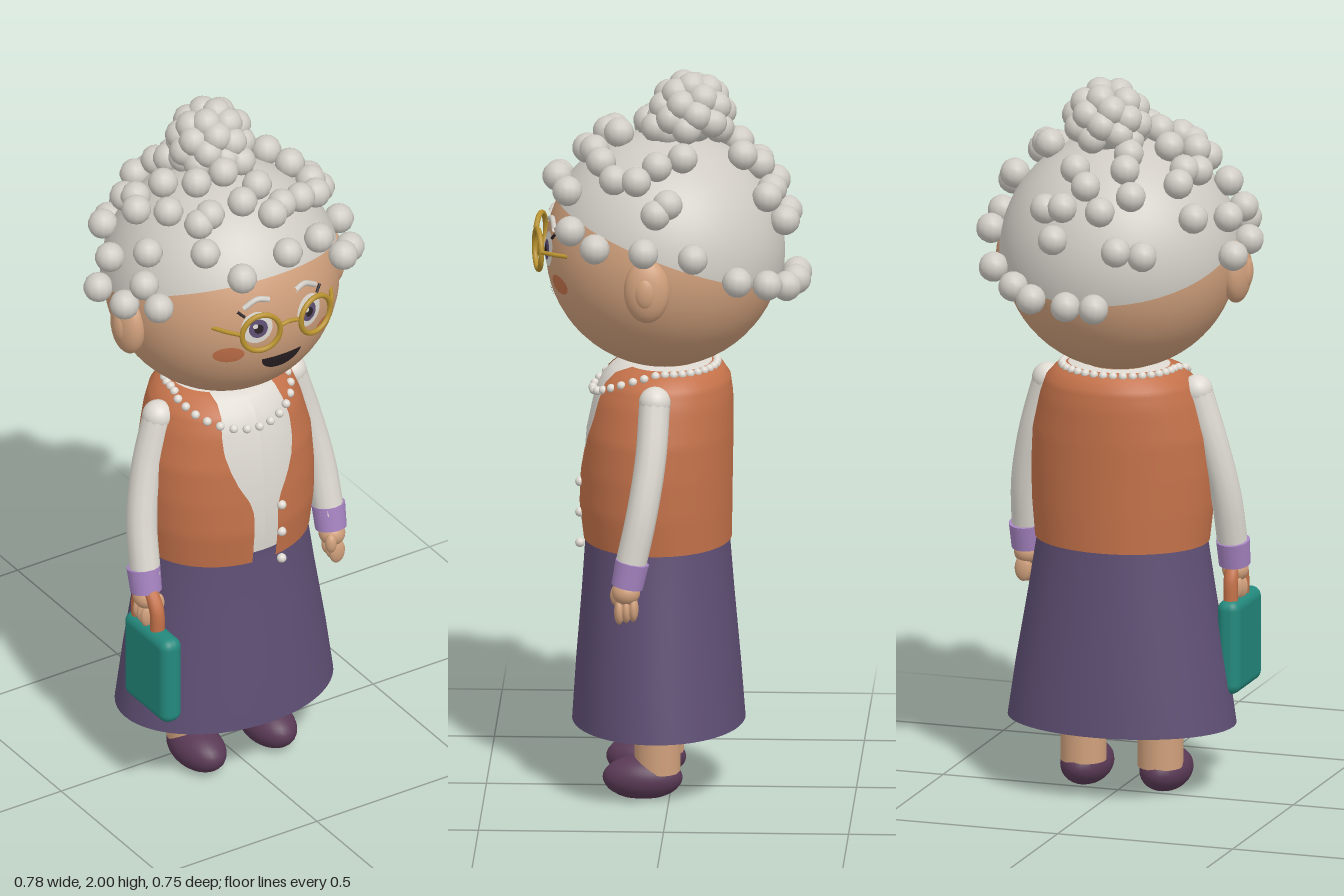
import * as THREE from 'three';
import { RoundedBoxGeometry } from 'three/addons/geometries/RoundedBoxGeometry.js';

const mat = (name, color, side = THREE.FrontSide) => {
  const m = new THREE.MeshStandardMaterial({ color, side });
  m.name = name;
  return m;
};

export function createModel() {
  const model = new THREE.Group();
  model.name = 'grandmother';
  const D = THREE.DoubleSide;
  const skin = mat('skin', 0xd0a07c), hair = mat('silver hair', 0xcfcbc4, D), cream = mat('cream', 0xdedad2, D);
  const orange = mat('orange', 0xc4724a, D), purple = mat('purple', 0x5f4f74, D), plum = mat('plum', 0x5a3a56);
  const lilac = mat('lilac', 0xa684c2), teal = mat('teal', 0x23897d), gold = mat('gold', 0xb8922f), dark = mat('dark', 0x2a2226);

  const add = (name, geo, material, x = 0, y = 0, z = 0, parent = model) => {
    const m = new THREE.Mesh(geo, material);
    m.name = name;
    m.position.set(x, y, z);
    parent.add(m);
    return m;
  };
  const ball = (name, material, x, y, z, rx, ry = rx, rz = rx, parent = model) =>
    add(name, new THREE.SphereGeometry(1, 24, 16).scale(rx, ry, rz), material, x, y, z, parent);
  const V = (x, y, z) => new THREE.Vector3(x, y, z);
  const tube = (name, pts, r, material, seg = 20) =>
    add(name, new THREE.TubeGeometry(new THREE.CatmullRomCurve3(pts), seg, r, 12), material);

  // Linear lookup in rows whose first entry is the height
  const lookup = (rows, y) => {
    let i = 0;
    while (i < rows.length - 2 && y > rows[i + 1][0]) i++;
    const a = rows[i], b = rows[i + 1];
    const t = THREE.MathUtils.clamp((y - a[0]) / (b[0] - a[0]), 0, 1);
    return a.map((v, k) => v + (b[k] - v) * t);
  };

  // Skin of stacked ellipses [y, rx, rz, cz] with an optional front opening
  const shell = (name, rows, material, inset = 0, gap = null) => {
    const N = 56, pos = [], idx = [];
    rows.forEach(([y, rx, rz, cz], r) => {
      rx -= inset; rz -= inset;
      const g = gap ? Math.asin(Math.min(0.95, lookup(gap, y)[1] / rx)) : 0;
      for (let j = 0; j <= N; j++) {
        const a = g + (2 * Math.PI - 2 * g) * j / N;
        pos.push(rx * Math.sin(a), y, cz + rz * Math.cos(a));
        if (r && j) {
          const u = r * (N + 1) + j, d = u - N - 1;
          idx.push(d - 1, d, u - 1, d, u, u - 1);
        }
      }
    });
    const geo = new THREE.BufferGeometry();
    geo.setAttribute('position', new THREE.Float32BufferAttribute(pos, 3));
    geo.setIndex(idx);
    geo.computeVertexNormals();
    return add(name, geo, material);
  };

  // Torso: blouse below an open waistcoat, long skirt
  const torso = [[0.7, 0.24, 0.2, 0.037], [0.8, 0.25, 0.207, 0.042], [0.9, 0.252, 0.206, 0.04], [1, 0.246, 0.203, 0.035],
    [1.1, 0.222, 0.192, 0.025], [1.15, 0.203, 0.178, 0.018], [1.178, 0.178, 0.155, 0.013], [1.192, 0.14, 0.12, 0.01]];
  const opening = [[0.7, 0.037], [0.86, 0.038], [0.9, 0.05], [0.95, 0.078], [1, 0.097], [1.05, 0.108], [1.1, 0.108],
    [1.15, 0.098], [1.192, 0.09]];
  const fine = [];
  for (let i = 0; i <= 30; i++) fine.push(lookup(torso, 0.7 + 0.45 * i / 30));
  fine.push(torso[6], torso[7]);
  shell('waistcoat', fine, orange, 0, opening);
  shell('blouse', [...torso, [1.194, 0.03, 0.03, 0.01]], cream, 0.009);
  shell('skirt', [[0.195, 0.32, 0.237, 0.034], [0.35, 0.297, 0.226, 0.035], [0.55, 0.262, 0.209, 0.036],
    [0.7, 0.238, 0.198, 0.037], [0.728, 0.237, 0.198, 0.038]], purple, 0.003);
  add('neck', new THREE.CylinderGeometry(0.09, 0.09, 0.1, 24), skin, 0, 1.2, 0.015);
  for (const y of [0.86, 0.775, 0.69]) ball('button', cream, 0.05, y, 0.245, 0.013);
  for (let i = 0; i < 36; i++) {
    const a = i / 36 * Math.PI * 2, f = Math.max(0, Math.cos(a));
    const y = 1.186 - 0.075 * f * f, [, rx, rz, cz] = lookup(torso, y);
    ball('pearl', cream, rx * Math.sin(a), y, cz + rz * Math.cos(a), 0.012);
  }

  // Limbs, mirrored
  for (const s of [1, -1]) {
    const arm = [V(s * 0.213, 1.125, 0.036), V(s * 0.255, 0.98, 0.045), V(s * 0.285, 0.83, 0.068), V(s * 0.294, 0.68, 0.1)];
    tube('sleeve', arm, 0.042, cream);
    ball('shoulder', cream, s * 0.213, 1.125, 0.036, 0.043);
    const cuff = add('cuff', new THREE.CylinderGeometry(0.046, 0.043, 0.07, 24), lilac, s * 0.296, 0.667, 0.1);
    cuff.rotation.x = -0.2;
    ball('palm', skin, s * 0.297, 0.615, 0.11, 0.036, 0.034, 0.038);
    ball('thumb', skin, s * 0.276, 0.602, 0.138, 0.016, 0.028, 0.016);
    for (let i = 0; i < 3; i++) ball('finger', skin, s * 0.302, 0.572 - i * 0.004, 0.09 + i * 0.019, 0.024, 0.036, 0.014);
    add('leg', new THREE.CylinderGeometry(0.066, 0.062, 0.6, 24), skin, s * 0.11, 0.37, 0.033);
    const shoe = new THREE.SphereGeometry(1, 28, 18);
    const p = shoe.attributes.position;
    for (let i = 0; i < p.count; i++) p.setY(i, Math.max(p.getY(i), -0.88));
    shoe.scale(0.068, 0.06, 0.108).computeVertexNormals();
    add('shoe', shoe, plum, s * 0.113, 0.054, 0.073);
  }

  // Handbag
  add('handbag', new RoundedBoxGeometry(0.065, 0.262, 0.215, 4, 0.028), teal, -0.297, 0.41, 0.143);
  tube('handbagHandle', [V(-0.297, 0.53, 0.07), V(-0.297, 0.6, 0.075), V(-0.297, 0.645, 0.115),
    V(-0.297, 0.6, 0.16), V(-0.297, 0.53, 0.165)], 0.02, orange, 28);

  // Head and ears
  const HY = 1.5, HZ = 0.02, R = 0.32;
  add('head', new THREE.SphereGeometry(R, 48, 32), skin, 0, HY, HZ);
  for (const s of [1, -1]) {
    ball('ear', skin, s * 0.32, 1.463, 0.053, 0.04, 0.088, 0.062);
    ball('innerEar', skin, s * 0.345, 1.463, 0.056, 0.02, 0.046, 0.03);
  }

  // Thin patches lying on the face
  const onFace = (x, y, lift) => HZ + Math.sqrt((R + lift) ** 2 - x * x - (y - HY) ** 2);
  const patch = (name, material, cx, cy, rx, ry, lift, start = 0, sweep = Math.PI * 2) => {
    const geo = new THREE.RingGeometry(0.001, 1, 28, 5, start, sweep);
    const p = geo.attributes.position;
    for (let i = 0; i < p.count; i++) {
      const x = cx + p.getX(i) * rx, y = cy + p.getY(i) * ry;
      p.setXYZ(i, x, y, onFace(x, y, lift));
    }
    geo.computeVertexNormals();
    return add(name, geo, material);
  };
  patch('mouth', dark, 0, 1.405, 0.062, 0.047, 0.003, Math.PI, Math.PI);
  for (const s of [1, -1]) {
    patch('eyeWhite', cream, s * 0.083, 1.517, 0.043, 0.048, 0.003);
    patch('iris', purple, s * 0.081, 1.515, 0.026, 0.028, 0.005);
    patch('pupil', dark, s * 0.081, 1.515, 0.013, 0.014, 0.007);
    patch('eyeGlint', cream, s * 0.081 - 0.01, 1.526, 0.007, 0.007, 0.009);
    patch('cheek', orange, s * 0.152, 1.435, 0.038, 0.026, 0.003);
    tube('eyebrow', [[0.042, 1.592], [0.075, 1.598], [0.115, 1.578]].map(([x, y]) => V(s * x, y, onFace(s * x, y, 0.002))),
      0.008, hair);
    tube('eyelash', [[0.115, 1.555], [0.132, 1.572]].map(([x, y]) => V(s * x, y, onFace(s * x, y, 0.004))), 0.004, dark, 4);
    // Spectacles
    const rim = add('spectacleRim', new THREE.TorusGeometry(0.055, 0.0075, 10, 36), gold, s * 0.087, 1.517, 0.357);
    rim.rotation.y = s * 0.21;
    tube('spectacleArm', [V(s * 0.143, 1.522, 0.345), V(s * 0.168, 1.522, 0.31), V(s * 0.192, 1.522, 0.265)], 0.006, gold);
  }
  tube('spectacleBridge', [V(-0.034, 1.522, 0.362), V(0, 1.528, 0.362), V(0.034, 1.522, 0.362)], 0.006, gold);

  // Hair cap tilted towards the back
  const cap = add('hairCap', new THREE.SphereGeometry(0.327, 48, 24, 0, Math.PI * 2, 0, 1.45), hair, 0, HY, HZ);
  cap.rotation.x = -0.355;

  // Curls on the cap, given as x, z pairs
  const curlGeo = new THREE.SphereGeometry(0.041, 12, 9);
  const curls = new THREE.Group();
  curls.name = 'curls';
  model.add(curls);
  const spots = [
    -0.046, -0.338, -0.167, -0.285, -0.116, -0.232, -0.044, -0.28, 0.034, -0.338, 0.065, -0.275, 0.118, -0.264,
    0.14, -0.317, 0.207, -0.268, 0.29, -0.19, 0.338, -0.072, 0.294, -0.002, 0.351, 0.061, 0.182, -0.038,
    0.214, 0.03, 0.245, 0.085, 0.3, 0.195, 0.222, 0.146, 0.148, 0.184, 0.235, 0.264, 0.15, 0.275,
    0.03, 0.307, 0.034, 0.226, 0.076, 0.205, 0.038, 0.14, -0.03, 0.173, -0.116, 0.307, -0.18, 0.222,
    -0.125, 0.159, -0.16, 0.16, -0.2, 0.068, -0.305, 0.184, -0.315, 0.127, -0.347, 0.078, -0.283, 0.095,
    -0.347, -0.053, -0.268, -0.154, -0.216, -0.127, -0.214, -0.074, -0.24, -0.03, -0.156, -0.027, -0.082, -0.18,
    0.055, -0.195, -0.1, 0.053, -0.02, 0.063, 0.05, 0.04, -0.075, -0.13, 0.08, -0.31, -0.1, -0.31,
    -0.325, -0.03, 0.31, 0.03, 0.01, -0.24];
  for (let i = 0; i < spots.length; i += 2) {
    const x = spots[i], z = spots[i + 1];
    const up = Math.sqrt(Math.max(0, 0.355 ** 2 - x * x - (z - HZ) ** 2));
    const hairline = 1.56 + 0.37 * (z - HZ);
    add('curl', curlGeo, hair, x, up > 0.04 ? HY + up : hairline, z, curls);
  }

  // Bun of curls on the crown
  ball('bunCore', hair, 0.012, 1.875, -0.055, 0.075);
  for (let i = 0; i < 26; i++) {
    const h = 1 - 1.5 * (i + 0.5) / 26, r = Math.sqrt(1 - h * h), a = i * 2.39996;
    add('bunCurl', curlGeo, hair, 0.012 + 0.085 * r * Math.cos(a), 1.877 + 0.084 * h, -0.055 + 0.082 * r * Math.sin(a), curls);
  }
  return model;
}
